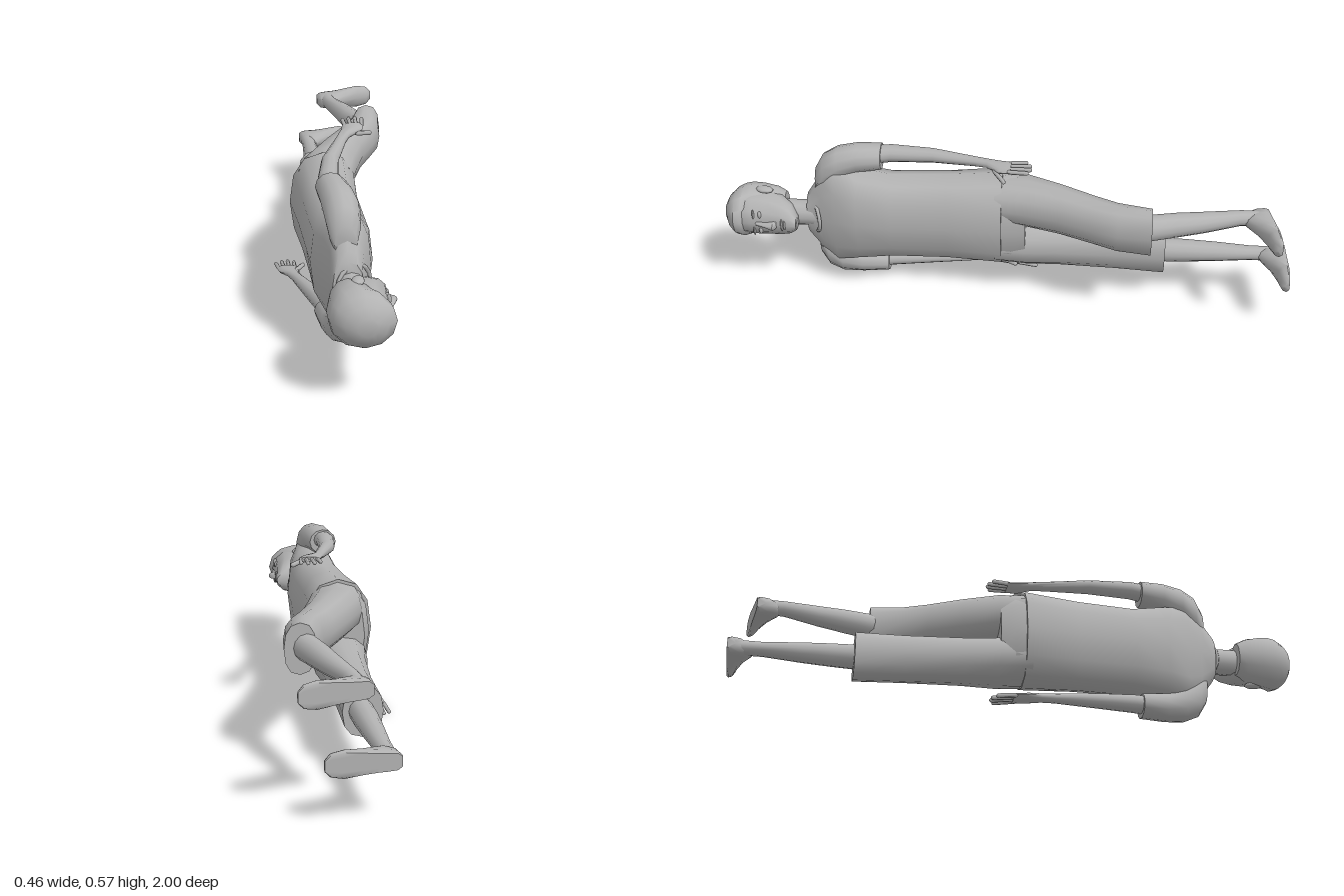
import * as THREE from 'three';
import { toCreasedNormals } from 'three/addons/utils/BufferGeometryUtils.js';

const grey = new THREE.MeshStandardMaterial({ color: 0xb3b3b3 });
grey.name = 'plain grey';
const SIDES = 12;

// Closed skin through rings. Each row: [z, centre x, centre y, radius x, radius y]
function loft(rows, power = 1) {
  const pts = rows.map(([z, cx, cy, rx, ry]) => {
    const ring = [];
    for (let j = 0; j < SIDES; j++) {
      const a = (j / SIDES) * Math.PI * 2, c = Math.cos(a), s = Math.sin(a);
      ring.push([cx + rx * Math.sign(c) * Math.abs(c) ** power,
        cy + ry * Math.sign(s) * Math.abs(s) ** power, z]);
    }
    return ring;
  });
  return skin(pts, rows[0][0] > rows[rows.length - 1][0]);
}

// Foot rings run from heel to toe with a flat sole. Row: [x, height, half width]
function footSkin(rows, ox, cy, sole, slope) {
  const pts = rows.map(([x, h, w]) => {
    const ring = [];
    for (let j = 0; j < SIDES; j++) {
      const a = (j / SIDES) * Math.PI * 2;
      ring.push([x + ox, cy + w * Math.sin(a),
        sole + slope * (x - rows[0][0]) + h * Math.max(0, Math.cos(a) * 0.8 + 0.2)]);
    }
    return ring;
  });
  return skin(pts, true);
}

function skin(rings, flip) {
  const pos = rings.flat(2), idx = [], n = rings.length;
  const tri = (a, b, c) => (flip ? idx.push(a, c, b) : idx.push(a, b, c));
  for (let i = 0; i < n - 1; i++) {
    for (let j = 0; j < SIDES; j++) {
      const k = (j + 1) % SIDES, a = i * SIDES, b = a + SIDES;
      tri(a + j, a + k, b + k);
      tri(a + j, b + k, b + j);
    }
  }
  const last = (n - 1) * SIDES;
  for (let j = 1; j < SIDES - 1; j++) {
    tri(0, j + 1, j);
    tri(last, last + j, last + j + 1);
  }
  const g = new THREE.BufferGeometry();
  g.setAttribute('position', new THREE.Float32BufferAttribute(pos, 3));
  g.setIndex(idx);
  return toCreasedNormals(g, 0.95);
}

export function createModel() {
  const model = new THREE.Group();
  model.name = 'recliningFigure';
  const add = (name, geometry, parent = model) => {
    const m = new THREE.Mesh(geometry, grey);
    m.name = name;
    parent.add(m);
    return m;
  };
  const ball = (name, p, s) => {
    const m = add(name, new THREE.SphereGeometry(1, 10, 8));
    m.position.set(...p);
    m.scale.set(...s);
    return m;
  };
  const digit = (name, from, to, r) => {
    const a = new THREE.Vector3(...from), b = new THREE.Vector3(...to);
    const d = b.clone().sub(a);
    const m = add(name, new THREE.CapsuleGeometry(r, d.length(), 3, 6));
    m.position.copy(a).add(b).multiplyScalar(0.5);
    m.quaternion.setFromUnitVectors(new THREE.Vector3(0, 1, 0), d.normalize());
  };

  // Shirt body, widening into the shoulders
  add('shirt', loft([
    [0.005, -0.06, 0.298, 0.12, 0.18], [0.2, -0.06, 0.293, 0.105, 0.168],
    [0.4, -0.055, 0.29, 0.103, 0.165], [0.52, -0.055, 0.292, 0.1, 0.185],
    [0.6, -0.05, 0.293, 0.08, 0.2], [0.65, -0.052, 0.29, 0.06, 0.165],
    [0.685, -0.055, 0.287, 0.052, 0.11], [0.705, -0.055, 0.286, 0.048, 0.08],
  ], 0.85));
  const collar = add('collar', new THREE.TorusGeometry(0.062, 0.007, 6, 16));
  collar.position.set(-0.035, 0.286, 0.685);
  collar.rotation.y = 0.5;

  // Sleeves
  add('leftSleeve', loft([
    [0.435, -0.08, 0.513, 0.05, 0.047], [0.52, -0.07, 0.51, 0.055, 0.053],
    [0.59, -0.062, 0.49, 0.058, 0.063], [0.64, -0.06, 0.455, 0.052, 0.07],
    [0.67, -0.058, 0.41, 0.035, 0.06],
  ]));
  add('rightSleeve', loft([
    [0.425, -0.085, 0.073, 0.05, 0.043], [0.52, -0.072, 0.08, 0.055, 0.05],
    [0.59, -0.062, 0.1, 0.058, 0.063], [0.64, -0.06, 0.13, 0.052, 0.07],
    [0.67, -0.058, 0.17, 0.035, 0.06],
  ]));

  // Arms and palms
  add('leftArm', loft([
    [0.5, -0.077, 0.515, 0.036, 0.034], [0.4, -0.083, 0.525, 0.035, 0.03],
    [0.25, -0.062, 0.535, 0.029, 0.024], [0.1, -0.012, 0.548, 0.021, 0.016],
    [0.055, 0.006, 0.553, 0.022, 0.014], [0.01, 0.038, 0.558, 0.038, 0.013],
    [-0.03, 0.048, 0.563, 0.038, 0.009],
  ]));
  add('rightArm', loft([
    [0.5, -0.077, 0.077, 0.036, 0.034], [0.4, -0.092, 0.077, 0.037, 0.031],
    [0.25, -0.128, 0.062, 0.03, 0.025], [0.1, -0.163, 0.044, 0.021, 0.016],
    [0.05, -0.174, 0.037, 0.022, 0.014], [0, -0.185, 0.028, 0.037, 0.013],
    [-0.05, -0.191, 0.021, 0.037, 0.009],
  ]));

  // Fingers and thumbs
  const reach = [0.05, 0.064, 0.066, 0.055];
  for (let i = 0; i < 4; i++) {
    const s = i / 3 - 0.5;
    digit('leftFinger', [0.048 + s * 0.058, 0.563, -0.025],
      [0.051 + s * 0.068, 0.566, -0.03 - reach[i]], 0.0075);
    digit('rightFinger', [-0.191 + s * 0.058, 0.021, -0.045],
      [-0.193 + s * 0.066, 0.012, -0.055 - reach[i]], 0.0075);
  }
  digit('leftThumb', [0.055, 0.55, 0.025], [0.103, 0.54, -0.008], 0.0085);
  digit('rightThumb', [-0.165, 0.034, 0.015], [-0.134, 0.034, -0.035], 0.0085);

  // Shorts
  add('shortsSeat', loft([
    [0.04, -0.06, 0.298, 0.11, 0.17], [-0.03, -0.056, 0.295, 0.11, 0.172],
    [-0.08, -0.045, 0.293, 0.095, 0.165],
  ], 0.85));
  add('leftShortsLeg', loft([
    [0.03, -0.06, 0.38, 0.1, 0.08], [-0.08, -0.03, 0.385, 0.1, 0.083],
    [-0.2, 0.022, 0.388, 0.085, 0.082], [-0.32, 0.085, 0.39, 0.077, 0.08],
    [-0.4, 0.128, 0.393, 0.067, 0.083], [-0.515, 0.157, 0.397, 0.052, 0.086],
  ], 0.85));
  add('rightShortsLeg', loft([
    [0.03, -0.06, 0.21, 0.1, 0.08], [-0.08, -0.052, 0.208, 0.098, 0.083],
    [-0.2, -0.046, 0.206, 0.08, 0.081], [-0.4, -0.038, 0.202, 0.066, 0.083],
    [-0.575, -0.034, 0.198, 0.067, 0.086],
  ], 0.85));

  // Calves
  add('leftCalf', loft([
    [-0.48, 0.145, 0.4, 0.042, 0.048], [-0.6, 0.112, 0.4, 0.044, 0.042],
    [-0.7, 0.087, 0.4, 0.038, 0.036], [-0.82, 0.052, 0.4, 0.028, 0.027],
    [-0.9, 0.043, 0.398, 0.028, 0.025],
  ]));
  add('rightCalf', loft([
    [-0.54, -0.028, 0.2, 0.04, 0.045], [-0.65, -0.029, 0.2, 0.041, 0.04],
    [-0.75, -0.03, 0.2, 0.036, 0.035], [-0.88, -0.031, 0.2, 0.028, 0.025],
    [-0.97, -0.031, 0.2, 0.029, 0.025],
  ]));

  // Feet
  const foot = [[-0.065, 0.03, 0.018], [-0.05, 0.07, 0.03], [-0.02, 0.1, 0.033],
    [0.005, 0.09, 0.034], [0.05, 0.06, 0.039], [0.105, 0.038, 0.045],
    [0.145, 0.03, 0.037], [0.163, 0.016, 0.018]];
  add('leftFoot', footSkin(foot, 0.068, 0.393, -0.915, -0.15));
  add('rightFoot', footSkin(foot, 0, 0.2, -1, 0));

  // Neck and head, face towards +x
  add('neck', loft([
    [0.62, -0.05, 0.287, 0.055, 0.06], [0.7, -0.045, 0.286, 0.045, 0.046],
    [0.82, -0.04, 0.288, 0.048, 0.048],
  ]));
  add('head', loft([
    [0.735, 0.027, 0.288, 0.03, 0.026], [0.76, 0.002, 0.288, 0.056, 0.053],
    [0.8, -0.018, 0.289, 0.072, 0.071], [0.85, -0.038, 0.29, 0.09, 0.08],
    [0.9, -0.042, 0.29, 0.093, 0.084], [0.94, -0.04, 0.29, 0.088, 0.08],
    [0.975, -0.035, 0.29, 0.06, 0.055],
  ]));
  add('hair', loft([
    [0.79, -0.072, 0.29, 0.045, 0.06], [0.82, -0.07, 0.29, 0.06, 0.078],
    [0.87, -0.063, 0.29, 0.077, 0.091], [0.91, -0.056, 0.29, 0.085, 0.096],
    [0.935, -0.042, 0.29, 0.096, 0.095], [0.96, -0.034, 0.29, 0.093, 0.084],
    [0.985, -0.034, 0.29, 0.065, 0.06], [1, -0.032, 0.29, 0.03, 0.03],
  ]));

  // Facial features
  add('nose', loft([
    [0.805, 0.05, 0.289, 0.012, 0.012], [0.815, 0.06, 0.289, 0.02, 0.015],
    [0.84, 0.055, 0.289, 0.015, 0.009], [0.88, 0.045, 0.289, 0.01, 0.008],
  ]));
  ball('upperLip', [0.051, 0.289, 0.786], [0.008, 0.024, 0.005]);
  ball('lowerLip', [0.052, 0.289, 0.776], [0.008, 0.019, 0.005]);
  for (const side of [-1, 1]) {
    ball('eye', [0.041, 0.29 + side * 0.032, 0.865], [0.008, 0.014, 0.007]);
    ball('eyebrow', [0.043, 0.29 + side * 0.034, 0.888], [0.008, 0.019, 0.004]);
    ball('ear', [-0.045, 0.29 + side * 0.086, 0.86], [0.02, 0.011, 0.033]).rotation.y = -0.2;
  }
  return model;
}
